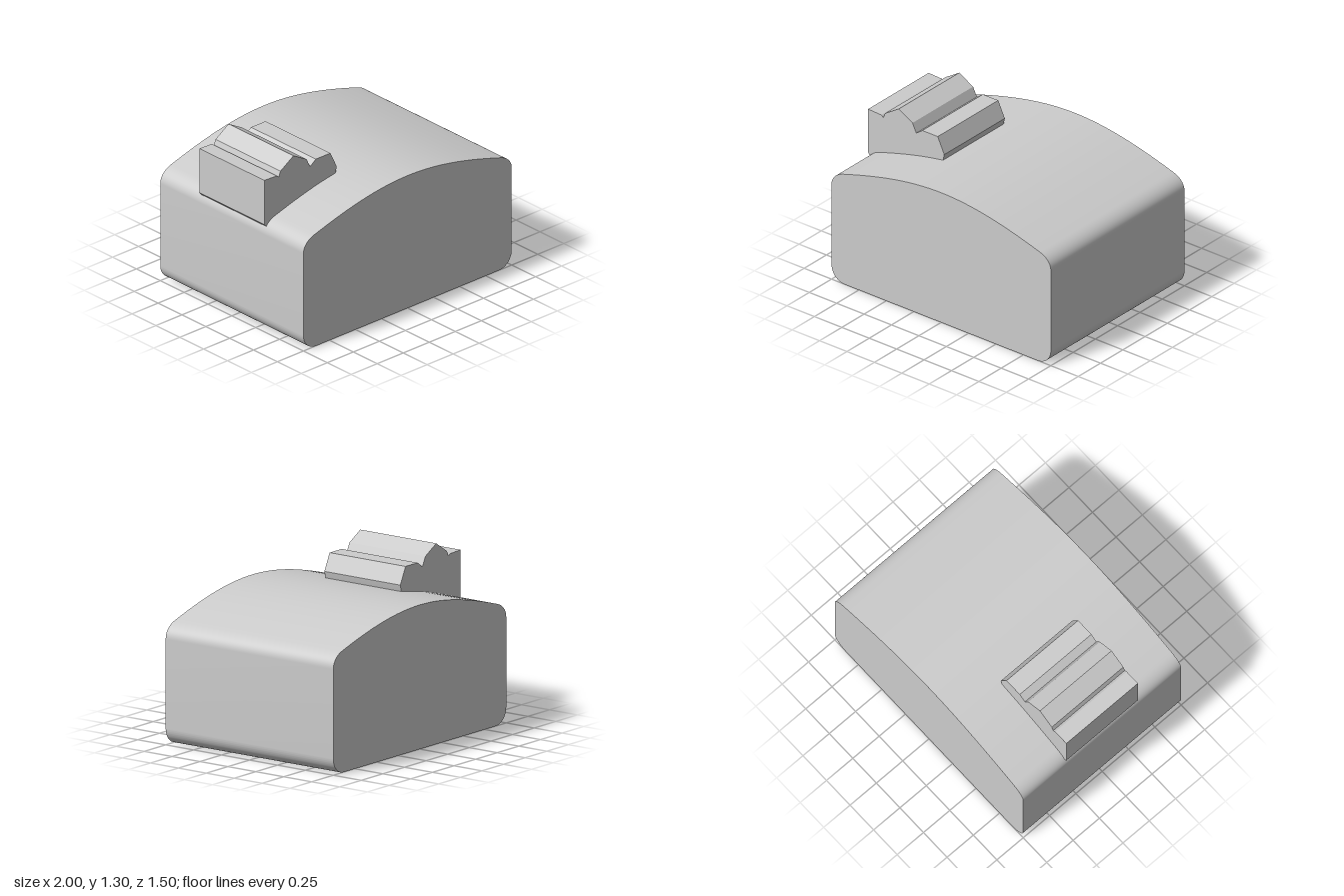
import * as THREE from 'three';
import { toCreasedNormals } from 'three/addons/utils/BufferGeometryUtils.js';

const stone = new THREE.MeshStandardMaterial({ color: 0xcccccc });
stone.name = 'light grey';

// Extrudes a profile along z, centred on z = 0
function extrude(name, shape, depth) {
  const solid = new THREE.ExtrudeGeometry(shape, { depth, bevelEnabled: false, curveSegments: 16 });
  solid.translate(0, 0, -depth / 2);
  const mesh = new THREE.Mesh(toCreasedNormals(solid, 0.35), stone);
  mesh.name = name;
  return mesh;
}

// Rounded block with a domed top
function bodyShape() {
  const r = 0.12;
  const s = new THREE.Shape();
  s.moveTo(-1 + r, 0);
  s.lineTo(1 - r, 0);
  s.absarc(1 - r, r, r, -Math.PI / 2, 0, false);
  s.lineTo(1, 0.77);
  s.bezierCurveTo(1, 0.82, 0.965, 0.864, 0.9, 0.885);
  s.bezierCurveTo(0.56, 0.99, 0.28, 1.05, 0, 1.05);
  s.bezierCurveTo(-0.28, 1.05, -0.56, 0.99, -0.9, 0.885);
  s.bezierCurveTo(-0.965, 0.864, -1, 0.82, -1, 0.77);
  s.lineTo(-1, r);
  s.absarc(-1 + r, r, r, Math.PI, Math.PI * 1.5, false);
  return s;
}

// Ridged block with three crests, its base sunk into the dome
function crestShape() {
  return new THREE.Shape([
    [-0.97, 0.815], [-0.9, 0.82], [-0.33, 0.98], [-0.315, 1.03], [-0.305, 1.075],
    [-0.365, 1.2], [-0.505, 1.2], [-0.56, 1.16], [-0.595, 1.23], [-0.72, 1.3],
    [-0.845, 1.22], [-0.86, 1.18], [-0.88, 1.195], [-1, 1.2], [-1, 0.85],
  ].map(([x, y]) => new THREE.Vector2(x, y)));
}

export function createModel() {
  const model = new THREE.Group();
  model.name = 'domedBlock';
  model.add(extrude('body', bodyShape(), 1.5));
  model.add(extrude('ridgedCrest', crestShape(), 0.68));
  return model;
}
